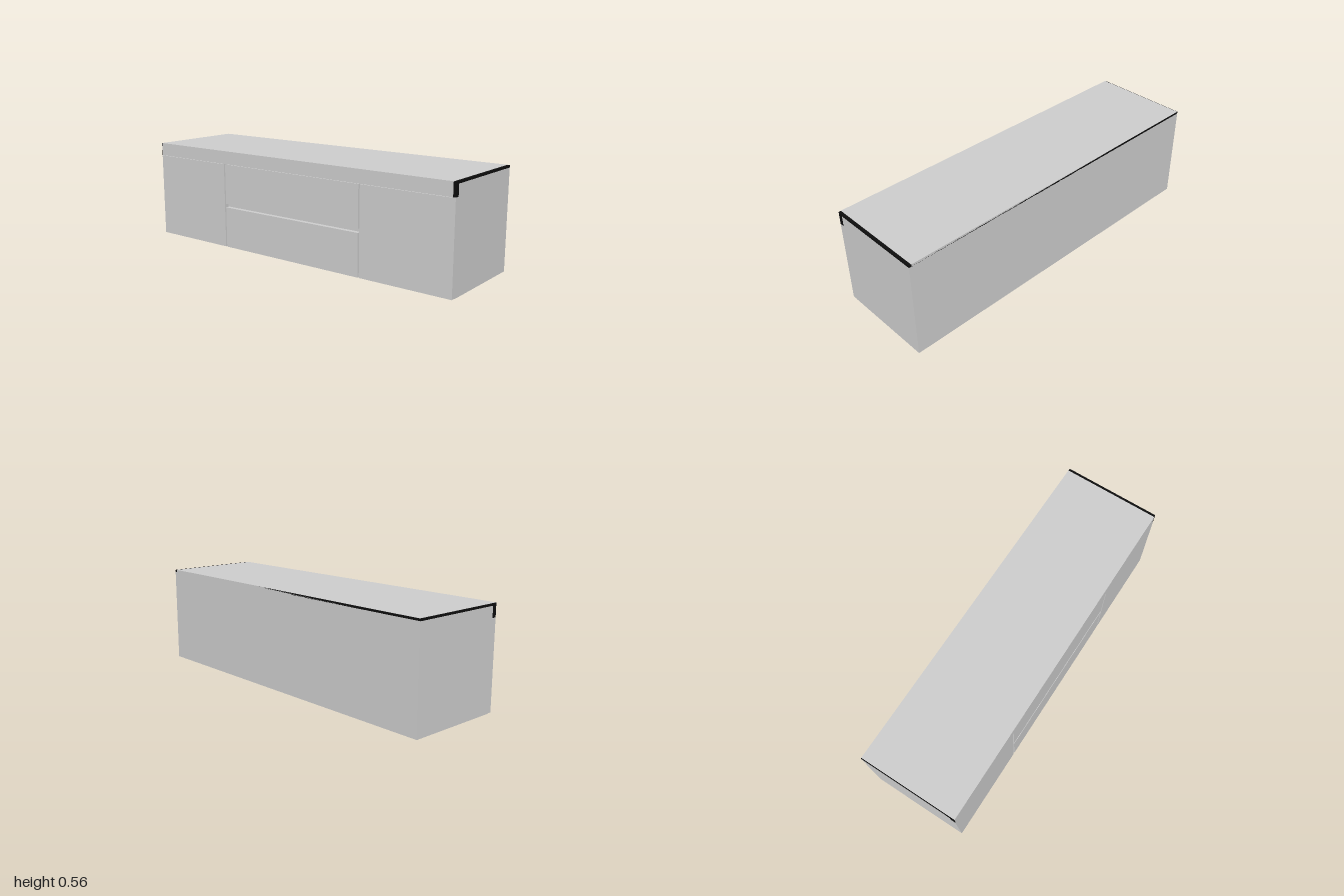
import * as THREE from 'three';

const grey = new THREE.MeshStandardMaterial({ color: 0xcccccc });
const black = new THREE.MeshStandardMaterial({ color: 0x0d0d0d });

const BACK = -0.281, FACE = 0.255, FRONT = 0.281;

// Box given by its limits on each axis
function box(name, x0, x1, y0, y1, z0, z1) {
  const mesh = new THREE.Mesh(new THREE.BoxGeometry(x1 - x0, y1 - y0, z1 - z0), grey);
  mesh.name = name;
  mesh.position.set((x0 + x1) / 2, (y0 + y1) / 2, (z0 + z1) / 2);
  return mesh;
}

// L-shaped worktop with a lip hanging over the front, extruded along x
function worktop(name, x0, x1, top, front, material) {
  const outline = [[BACK, 0.549], [FACE, 0.549], [FACE, 0.488], [front, 0.488], [front, top], [BACK, top]];
  const shape = new THREE.Shape(outline.map(([z, y]) => new THREE.Vector2(-z, y)));
  const geometry = new THREE.ExtrudeGeometry(shape, { depth: x1 - x0, bevelEnabled: false });
  geometry.rotateY(Math.PI / 2);
  geometry.translate(x0, 0, 0);
  const mesh = new THREE.Mesh(geometry, material);
  mesh.name = name;
  return mesh;
}

export function createModel() {
  const model = new THREE.Group();
  model.name = 'sideboard';

  // Carcass
  model.add(box('carcass', -1, 1, 0, 0.549, BACK, FACE));

  // Side doors
  model.add(box('leftDoor', 0.472, 1, 0.002, 0.486, FACE, FRONT));
  model.add(box('rightDoor', -1, -0.472, 0.002, 0.486, FACE, FRONT));

  // Two drawers with a finger gap between them
  [[0.002, 0.236], [0.257, 0.486]].forEach(([y0, y1], i) => {
    model.add(box(i ? 'upperDrawer' : 'lowerDrawer', -0.463, 0.463, y0, y1, FACE, FRONT));
  });

  // Dark worktop core showing at the ends, covered by a grey surface
  model.add(worktop('worktopCore', -1, 1, 0.561, FRONT, black));
  model.add(worktop('worktopSurface', -0.996, 0.986, 0.562, FRONT + 0.001, grey));

  return model;
}
